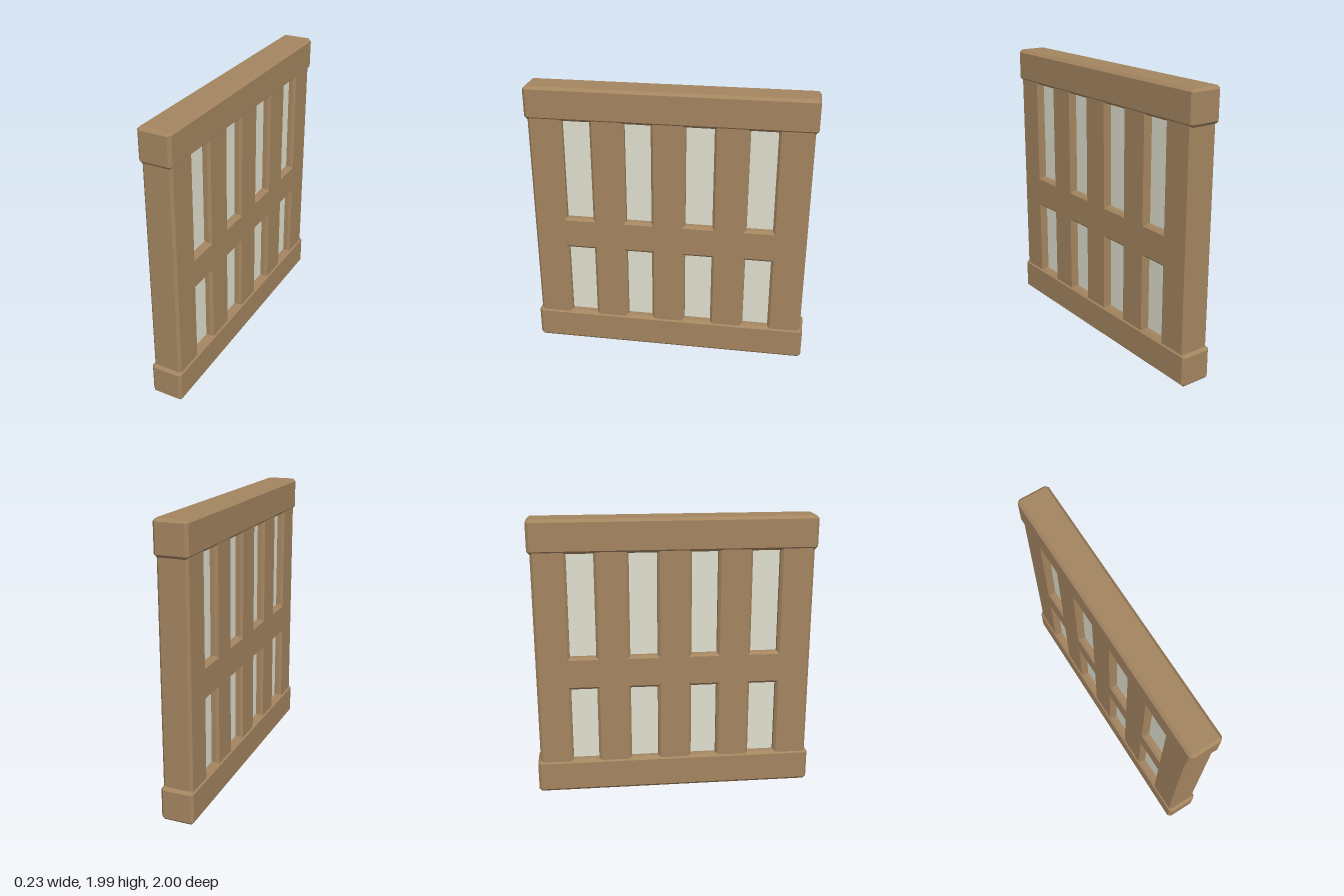
import * as THREE from 'three';
import { ConvexGeometry } from 'three/addons/geometries/ConvexGeometry.js';

const wood = new THREE.MeshStandardMaterial({ color: 0xa48560 });
const glass = new THREE.MeshStandardMaterial({ color: 0xdfdfcf });

// Box with flat chamfers on every edge and corner
function chamferBox(w, h, d, b) {
  const points = [];
  for (const sx of [-1, 1]) for (const sy of [-1, 1]) for (const sz of [-1, 1]) {
    for (let axis = 0; axis < 3; axis++) {
      const inset = [0, 1, 2].map((i) => (i === axis ? 0 : b));
      points.push(new THREE.Vector3(
        sx * (w / 2 - inset[0]), sy * (h / 2 - inset[1]), sz * (d / 2 - inset[2])));
    }
  }
  return new ConvexGeometry(points);
}

function rectPath(path, z0, z1, y0, y1) {
  path.moveTo(z0, y0);
  path.lineTo(z1, y0);
  path.lineTo(z1, y1);
  path.lineTo(z0, y1);
  path.closePath();
  return path;
}

export function createModel() {
  const group = new THREE.Group();
  const add = (name, geometry, material, y = 0, z = 0) => {
    const mesh = new THREE.Mesh(geometry, material);
    mesh.name = name;
    mesh.position.set(0, y, z);
    group.add(mesh);
  };

  // Rails along the bottom and top
  add('bottomRail', chamferBox(0.23, 0.24, 2, 0.02), wood, 0.12);
  add('topRail', chamferBox(0.23, 0.235, 2, 0.02), wood, 1.8725);

  // Window openings: four columns in two rows
  const columns = [[0.545, 0.74], [0.12, 0.305], [-0.315, -0.12], [-0.74, -0.555]];
  const rows = [[0.243, 0.782], [1.02, 1.757]];

  const wall = rectPath(new THREE.Shape(), -0.98, 0.98, 0.1, 1.9);
  for (const [z0, z1] of columns) for (const [y0, y1] of rows) {
    wall.holes.push(rectPath(new THREE.Path(), z0, z1, y0, y1));
    // Recessed pane
    add('windowPane', new THREE.BoxGeometry(0.11, y1 - y0, z1 - z0), glass,
      (y0 + y1) / 2, (z0 + z1) / 2);
  }

  // Wall panel with chamfered ends and window edges
  const bevel = 0.018, thickness = 0.21, depth = thickness - 2 * bevel;
  const panel = new THREE.ExtrudeGeometry(wall, {
    depth, bevelEnabled: true, bevelSegments: 1,
    bevelSize: bevel, bevelThickness: bevel, bevelOffset: -bevel,
  });
  panel.translate(0, 0, -depth / 2);
  panel.rotateY(-Math.PI / 2);
  add('wallPanel', panel, wood);

  return group;
}
